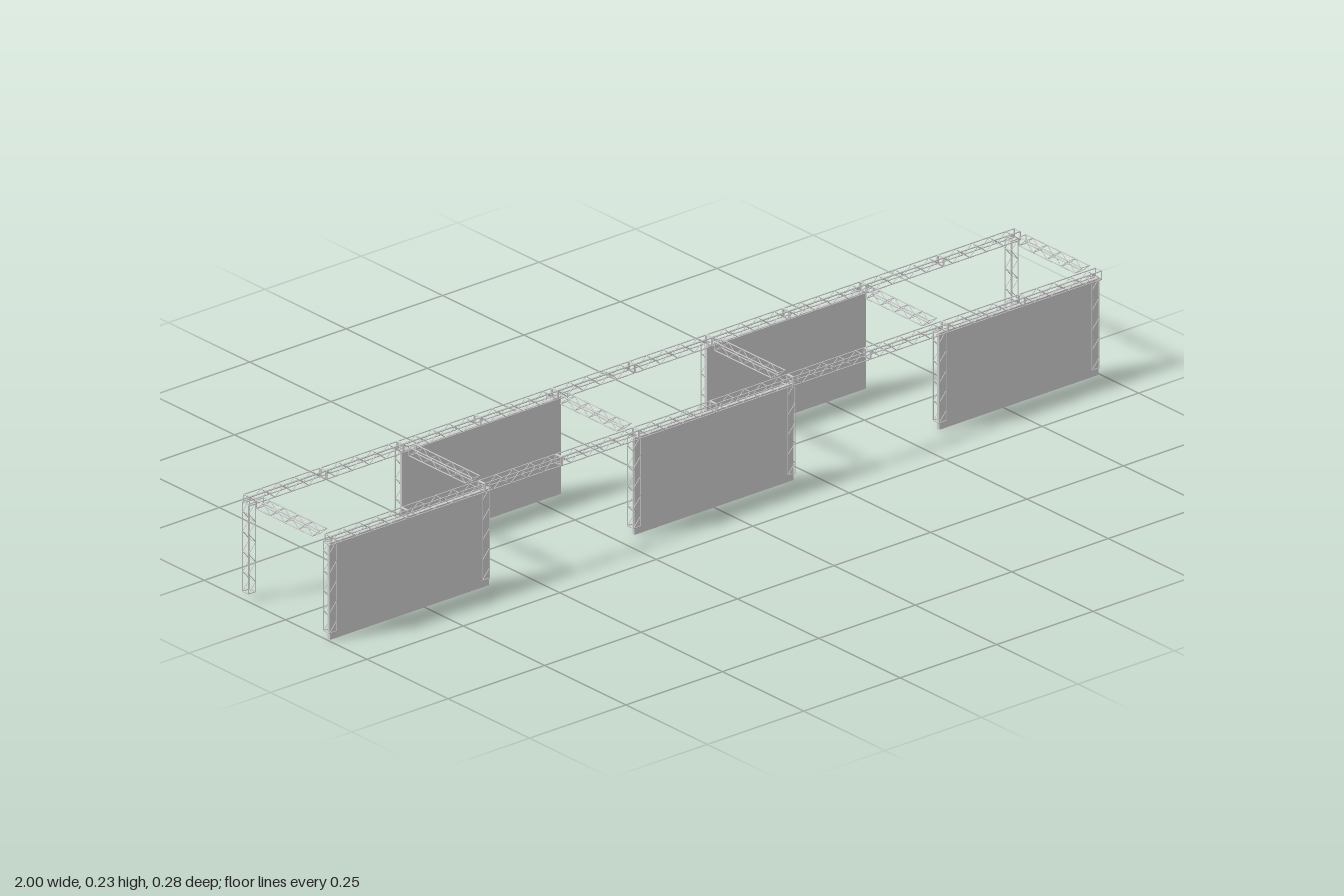
import * as THREE from 'three';
import { mergeGeometries } from 'three/addons/utils/BufferGeometryUtils.js';

const CELLS = 9;        // lattice cells in one truss module
const HALF = 0.0092;    // half the spacing between chord centres
const CHORD = 0.0012;
const LACE = 0.0008;
const V = (x, y, z) => new THREE.Vector3(x, y, z);

// Round bar between two points
function rod(a, b, radius) {
  const dir = b.clone().sub(a);
  const g = new THREE.CylinderGeometry(radius, radius, dir.length(), 6, 1);
  g.applyQuaternion(new THREE.Quaternion().setFromUnitVectors(V(0, 1, 0), dir.clone().normalize()));
  const mid = a.clone().add(b).multiplyScalar(0.5);
  return g.translate(mid.x, mid.y, mid.z);
}

// Square lattice module along +x: zigzags on the z faces, rungs on the y faces.
// With openStart the lower chords begin one cell late, leaving a slanted end.
function trussGeometry(length, openStart = false) {
  const parts = [];
  const step = length / CELLS;
  const node = (i, z) => V(i * step, i % 2 ? -HALF : HALF, z);
  for (const z of [-HALF, HALF]) {
    for (const y of [-HALF, HALF]) {
      const start = openStart && y < 0 ? step : 0;
      parts.push(rod(V(start, y, z), V(length, y, z), CHORD));
    }
    for (let i = 0; i < CELLS; i++) parts.push(rod(node(i, z), node(i + 1, z), LACE));
  }
  for (let i = 0; i <= CELLS; i++) parts.push(rod(node(i, -HALF), node(i, HALF), LACE));
  // square end frames
  for (const x of openStart ? [length] : [0, length]) {
    for (const s of [-HALF, HALF]) {
      parts.push(rod(V(x, -HALF, s), V(x, HALF, s), CHORD));
      parts.push(rod(V(x, s, -HALF), V(x, s, HALF), CHORD));
    }
  }
  return mergeGeometries(parts);
}

export function createModel() {
  const model = new THREE.Group();
  const material = new THREE.MeshStandardMaterial({ color: 0xcccccc });
  const add = (name, geometry, x, y, z) => {
    const mesh = new THREE.Mesh(geometry, material);
    mesh.name = name;
    mesh.position.set(x, y, z);
    model.add(mesh);
    return mesh;
  };

  const beamY = 0.218;
  const stations = [-0.988, -0.592, -0.2, 0.2, 0.592, 0.988];

  // Long top beams, each a chain of bolted modules
  const modules = 10;
  const pitch = 2 / modules;
  const beam = trussGeometry(pitch - 0.003);
  for (const z of [0.1285, -0.1215]) {
    for (let i = 0; i < modules; i++) {
      add(z > 0 ? 'frontBeam' : 'backBeam', beam, -1 + i * pitch + 0.0015, beamY, z);
    }
  }

  // Columns, zigzags facing front and back
  const column = trussGeometry(0.195);
  column.rotateZ(-Math.PI / 2);
  for (const x of stations) {
    add('frontColumn', column, x, 0.21, 0.1227);
    add('backColumn', column, x, 0.21, -0.1263);
  }

  // Cross beams running from front to back
  const cross = trussGeometry(0.195, true);
  cross.rotateY(Math.PI / 2);
  for (const x of stations) add('crossBeam', cross, x, beamY, 0.102);

  // Wall panels, alternating between front and back bays
  const panel = new THREE.BoxGeometry(0.412, 0.21, 0.007);
  for (let i = 0; i < 5; i++) {
    const front = i % 2 === 0;
    add(front ? 'frontPanel' : 'backPanel', panel, (i - 2) * 0.395, 0.105, front ? 0.128 : -0.1182);
  }
  return model;
}
